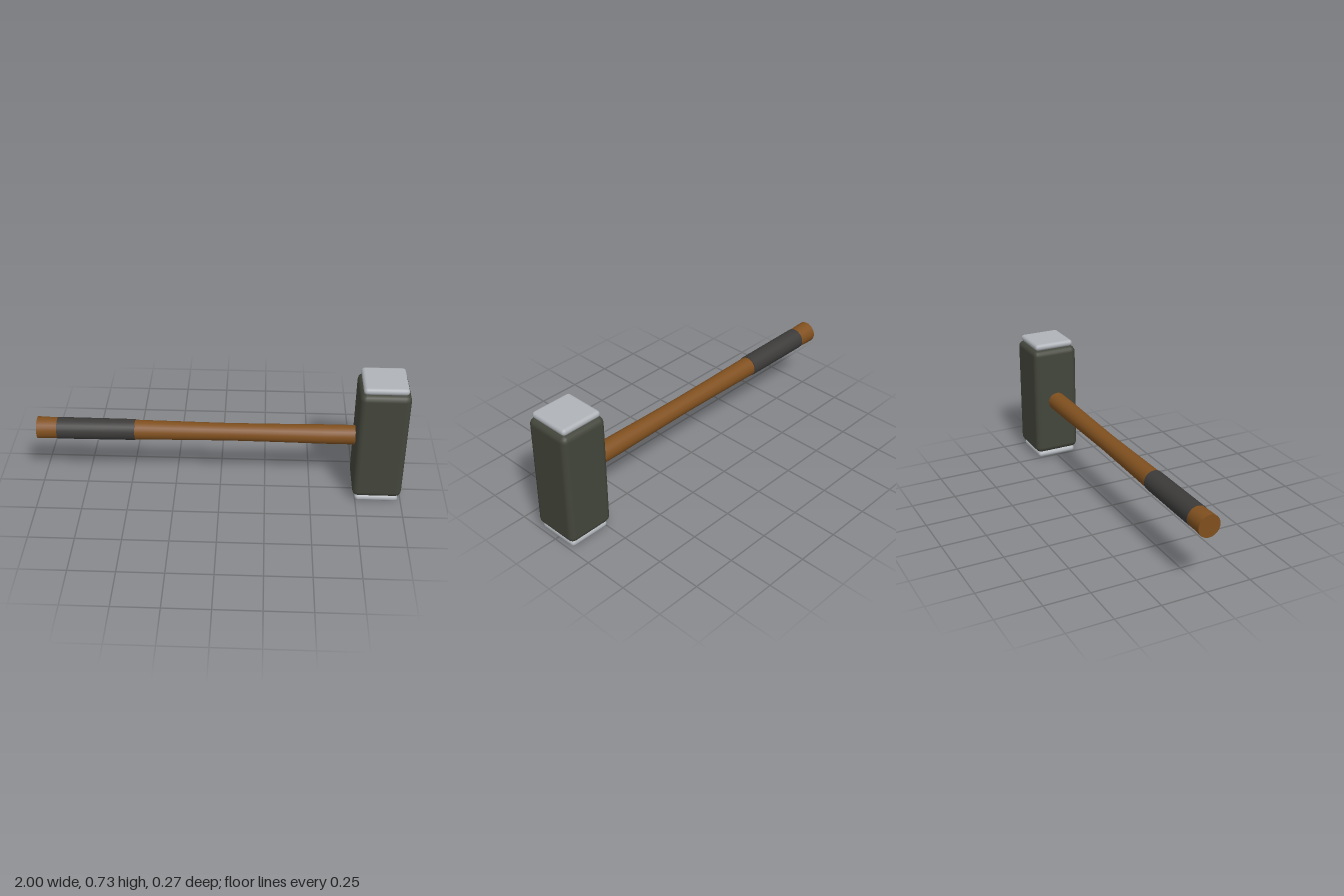
import * as THREE from 'three';
import { toCreasedNormals } from 'three/addons/utils/BufferGeometryUtils.js';
import { RoundedBoxGeometry } from 'three/addons/geometries/RoundedBoxGeometry.js';

const HANDLE_Y = 0.363;
const HEAD_X = 0.865;

const paint = (color) => new THREE.MeshStandardMaterial({ color });
const wood = paint(0x80501f);
const rubber = paint(0x3c3b3a);
const iron = paint(0x43463b);
const steel = paint(0xb0b4b9);

export function createModel() {
  const group = new THREE.Group();

  const add = (name, geometry, material, x, y) => {
    const mesh = new THREE.Mesh(geometry, material);
    mesh.name = name;
    mesh.position.set(x, y, 0);
    group.add(mesh);
  };

  // Round part along x, from [x, radius] pairs
  const turned = (profile) => {
    const points = profile.map(([x, r]) => new THREE.Vector2(r, x));
    const geometry = new THREE.LatheGeometry(points, 24).rotateZ(-Math.PI / 2);
    return toCreasedNormals(geometry, 0.6);
  };

  // Handle: waisted in the middle, flared at the butt
  add('handle', turned([
    [-1, 0], [-1, 0.061], [-0.94, 0.059], [-0.89, 0.057], [-0.46, 0.054],
    [-0.14, 0.05], [0.06, 0.048], [0.32, 0.05], [0.56, 0.053], [0.8, 0.053], [0.8, 0],
  ]), wood, 0, HANDLE_Y);

  // Grip sleeve
  add('grip', turned([
    [-0.89, 0.055], [-0.89, 0.0595], [-0.465, 0.0575], [-0.465, 0.052],
  ]), rubber, 0, HANDLE_Y);

  // Head block with a striking plate on each end
  add('head', new RoundedBoxGeometry(0.268, 0.652, 0.268, 2, 0.033), iron, HEAD_X, HANDLE_Y);
  for (const [name, side] of [['upperStrikingFace', 1], ['lowerStrikingFace', -1]]) {
    add(name, new RoundedBoxGeometry(0.237, 0.038, 0.237, 2, 0.0185), steel,
      HEAD_X, HANDLE_Y + side * 0.344);
  }

  return group;
}
